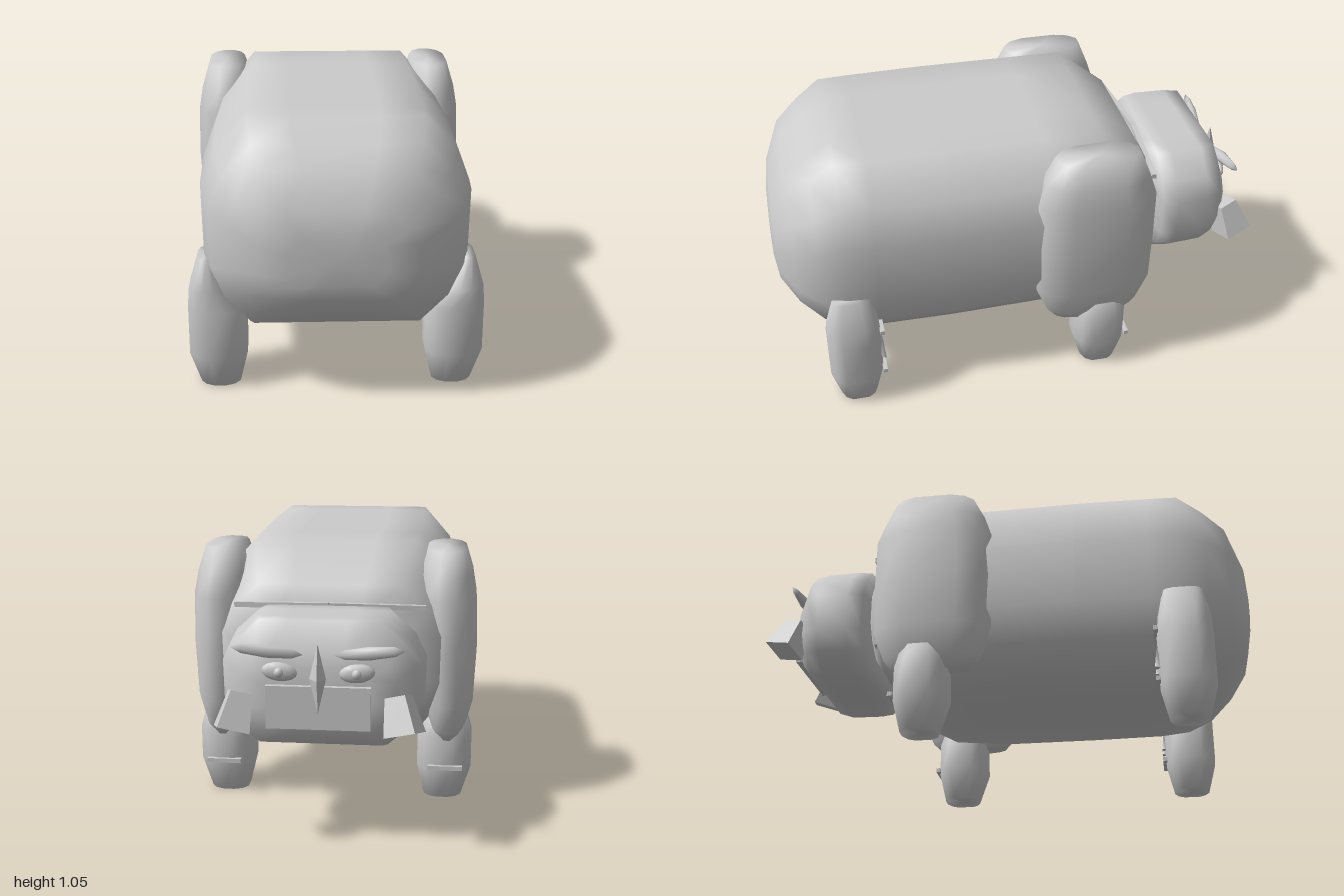
import * as THREE from 'three';

const material = new THREE.MeshStandardMaterial({ color: 0xcccccc, side: THREE.DoubleSide });

// Bevelled cross-sections in -1..1
const mirrorSection = (half) => [...half, ...half.map(([u, v]) => [-u, v]).reverse()];
const barrel = mirrorSection([
  [0.33, -1], [0.66, -1], [0.88, -0.7], [0.99, -0.36], [1, 0.3], [0.89, 0.66], [0.65, 1], [0.33, 1],
]);
const pill = mirrorSection([
  [0.45, -1], [0.8, -0.75], [1, -0.3], [1, 0.3], [0.8, 0.75], [0.45, 1],
]);

// Smooth closed skin over rings [along, uMin, uMax, vMin, vMax];
// axis 'z' uses u = x, v = y; axis 'y' uses u = z, v = x
function loft(rings, section, axis) {
  const pos = [], index = [], n = section.length;
  const put = (u, v, w) => (axis === 'z' ? pos.push(u, v, w) : pos.push(v, w, u));
  for (const [w, u0, u1, v0, v1] of rings) {
    for (const [a, b] of section) {
      put((u0 + u1 + a * (u1 - u0)) / 2, (v0 + v1 + b * (v1 - v0)) / 2, w);
    }
  }
  for (let r = 0; r < rings.length - 1; r++) {
    for (let i = 0; i < n; i++) {
      const a = r * n + i, b = r * n + (i + 1) % n;
      index.push(a, b, b + n, a, b + n, a + n);
    }
  }
  // End caps
  const last = (rings.length - 1) * n;
  for (const [start, ring] of [[0, rings[0]], [last, rings[rings.length - 1]]]) {
    const c = pos.length / 3;
    put((ring[1] + ring[2]) / 2, (ring[3] + ring[4]) / 2, ring[0]);
    for (let i = 0; i < n; i++) {
      const a = start + i, b = start + (i + 1) % n;
      index.push(c, start ? a : b, start ? b : a);
    }
  }
  const g = new THREE.BufferGeometry();
  g.setAttribute('position', new THREE.Float32BufferAttribute(pos, 3));
  g.setIndex(index);
  g.computeVertexNormals();
  return g;
}

export function createModel() {
  const model = new THREE.Group();
  const add = (name, geometry, p = [0, 0, 0], r = [0, 0, 0]) => {
    const mesh = new THREE.Mesh(geometry, material);
    mesh.name = name;
    mesh.position.set(...p);
    mesh.rotation.set(...r);
    model.add(mesh);
    return mesh;
  };
  // Thin square rod between two points
  const rod = (name, a, b, t) => {
    const A = new THREE.Vector3(...a), B = new THREE.Vector3(...b);
    const mesh = add(name, new THREE.BoxGeometry(t, t, A.distanceTo(B)));
    mesh.position.copy(A).lerp(B, 0.5);
    mesh.lookAt(B);
  };

  // Body and head, lofted front to back: [z, half width, bottom, top]
  const wide = ([z, w, y0, y1]) => [z, -w, w, y0, y1];
  add('body', loft([
    [-0.575, 0.34, 0.43, 0.8], [-0.52, 0.43, 0.34, 0.91], [-0.33, 0.5, 0.25, 1.05],
    [-0.1, 0.51, 0.23, 1.05], [0.3, 0.52, 0.23, 1.05], [0.6, 0.51, 0.23, 1.05],
    [0.72, 0.5, 0.24, 1.05], [0.82, 0.47, 0.28, 0.98], [0.91, 0.41, 0.36, 0.91],
    [0.975, 0.29, 0.44, 0.77], [0.99, 0.18, 0.5, 0.68],
  ].map(wide), barrel, 'z'));
  add('head', loft([
    [-0.92, 0.2, 0.5, 0.68], [-0.905, 0.28, 0.44, 0.74], [-0.86, 0.34, 0.38, 0.845],
    [-0.8, 0.37, 0.365, 0.845], [-0.67, 0.38, 0.365, 0.845], [-0.61, 0.355, 0.365, 0.845],
    [-0.57, 0.27, 0.43, 0.8],
  ].map(wide), barrel, 'z'));
  add('neck', new THREE.CylinderGeometry(0.2, 0.2, 0.12, 16), [0, 0.62, -0.57], [Math.PI / 2, 0, 0]);

  // Muzzle and nose ridge
  add('muzzle', new THREE.BoxGeometry(0.38, 0.16, 0.08), [0, 0.54, -0.9]);
  const ridge = new THREE.OctahedronGeometry(1, 0).toNonIndexed();
  ridge.scale(0.03, 0.13, 0.035);
  ridge.computeVertexNormals();
  add('noseRidge', ridge, [0, 0.65, -0.94]);

  for (const s of [-1, 1]) {
    const side = s > 0 ? 'left' : 'right';
    const span = (a, b) => (s > 0 ? [a, b] : [-b, -a]);
    const column = ([y, z0, z1, x0, x1]) => [y, z0, z1, ...span(x0, x1)];

    // Upper arm, lofted upward: [y, zMin, zMax, xMin, xMax]
    add(side + 'Arm', loft([
      [0.25, -0.42, -0.13, 0.42, 0.5], [0.3, -0.47, -0.09, 0.39, 0.53],
      [0.42, -0.515, -0.04, 0.36, 0.56], [0.64, -0.52, -0.03, 0.34, 0.57],
      [0.84, -0.52, -0.04, 0.34, 0.565], [0.93, -0.49, -0.07, 0.34, 0.55],
      [1.03, -0.45, -0.12, 0.37, 0.52],
    ].map(column), pill, 'y'));

    // Rear leg with sloped hip, and shorter front leg
    add(side + 'RearLeg', loft([
      [0, 0.64, 0.79, 0.37, 0.52], [0.13, 0.61, 0.825, 0.34, 0.56],
      [0.32, 0.607, 0.825, 0.34, 0.56], [0.4, 0.615, 0.82, 0.41, 0.555],
      [0.52, 0.64, 0.79, 0.46, 0.52],
    ].map(column), pill, 'y'));
    add(side + 'FrontLeg', loft([
      [0, -0.395, -0.245, 0.37, 0.52], [0.13, -0.425, -0.205, 0.34, 0.56],
      [0.27, -0.425, -0.21, 0.34, 0.56], [0.38, -0.4, -0.24, 0.38, 0.53],
    ].map(column), pill, 'y'));

    // Small ridges on the head-facing side of the legs
    for (const [z, y] of [[0.605, 0.14], [0.605, 0.35], [-0.428, 0.14]]) {
      add(side + 'LegRidge', new THREE.BoxGeometry(0.14, 0.018, 0.018), [s * 0.455, y, z]);
    }
    for (const x of [0.42, 0.49]) {
      const spike = new THREE.ConeGeometry(0.02, 0.09, 3);
      add(side + 'LegSpike', spike, [s * x, 0.24, 0.605]);
    }

    // Collar rods above and below the neck
    rod(side + 'UpperCollar', [s * 0.37, 0.83, -0.55], [0, 0.84, -0.58], 0.02);
    rod(side + 'LowerCollar', [s * 0.35, 0.45, -0.54], [0, 0.44, -0.57], 0.02);

    // Eye and brow
    const eye = new THREE.SphereGeometry(1, 14, 8);
    eye.scale(0.065, 0.035, 0.02);
    add(side + 'Eye', eye, [s * 0.14, 0.67, -0.925], [0, 0, s * 0.1]);
    const pupil = new THREE.SphereGeometry(0.02, 10, 8);
    add(side + 'Pupil', pupil, [s * 0.14, 0.67, -0.935]);
    const brow = new THREE.OctahedronGeometry(1, 1);
    brow.scale(0.13, 0.025, 0.022);
    add(side + 'Brow', brow, [s * 0.185, 0.745, -0.925], [0, s * 0.12, s * 0.12]);

    // Cheek tuft: flared block leaning outward
    const cheek = new THREE.CylinderGeometry(0.055, 0.085, 0.14, 4, 1).toNonIndexed();
    cheek.rotateY(Math.PI / 4);
    cheek.computeVertexNormals();
    add(side + 'Cheek', cheek, [s * 0.3, 0.52, -0.93], [0.25, s * 0.3, s * 0.2]);
  }
  return model;
}
